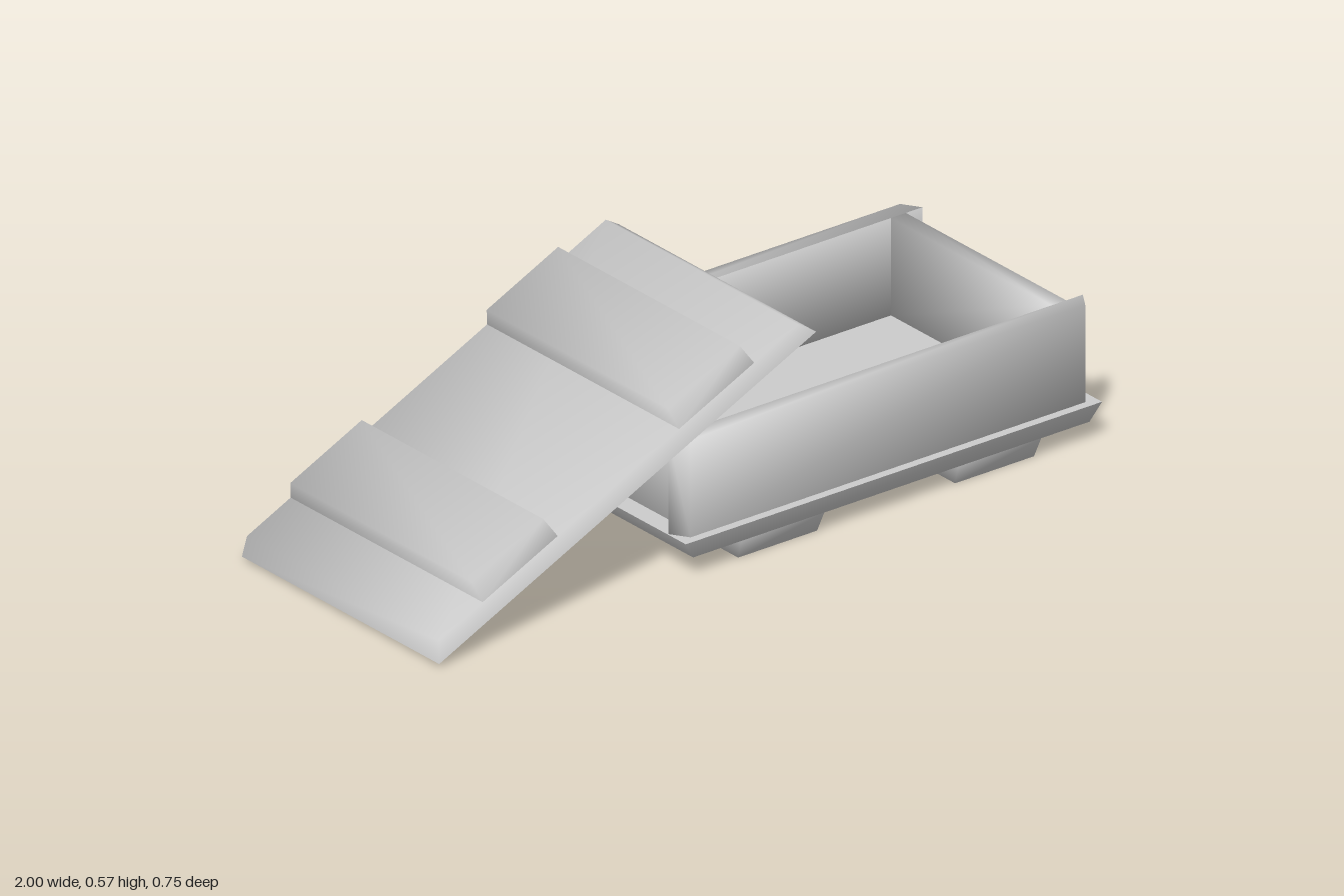
import * as THREE from 'three';
import { toCreasedNormals } from 'three/addons/utils/BufferGeometryUtils.js';

const material = new THREE.MeshStandardMaterial({ color: 0xcccccc });

// Board standing on y = 0 whose top is narrower by insetX / insetZ on each side.
// Right-angled edges are softly shaded, sharper ones stay creased.
function taperedBoard(name, length, height, width, insetX = 0, insetZ = 0) {
  const geometry = new THREE.BoxGeometry(length, height, width);
  geometry.translate(0, height / 2, 0);
  const p = geometry.attributes.position;
  for (let i = 0; i < p.count; i++) {
    if (p.getY(i) < height / 2) continue;
    p.setX(i, p.getX(i) - Math.sign(p.getX(i)) * insetX);
    p.setZ(i, p.getZ(i) - Math.sign(p.getZ(i)) * insetZ);
  }
  const mesh = new THREE.Mesh(toCreasedNormals(geometry, 1.65), material);
  mesh.name = name;
  return mesh;
}

// Panel with two cross battens, shared by the lid and the base
function battenedPanel(name, battenName) {
  const group = new THREE.Group();
  group.name = name;
  group.add(taperedBoard(name + 'Panel', 1.255, 0.047, 0.75, 0.03, 0.01));
  for (const side of [-1, 1]) {
    const batten = taperedBoard(battenName, 0.25, 0.053, 0.73, 0.006, 0.02);
    batten.position.set(side * 0.327, 0.047, 0);
    group.add(batten);
  }
  return group;
}

export function createModel() {
  const model = new THREE.Group();
  model.name = 'openCrate';

  // Crate body
  const crate = new THREE.Group();
  crate.name = 'crate';
  crate.position.x = 0.37;
  model.add(crate);

  const base = battenedPanel('base', 'foot');
  base.rotation.x = Math.PI;
  base.position.y = 0.1;
  crate.add(base);

  for (const side of [-1, 1]) {
    // Long walls, chamfered at their outer ends
    const wall = taperedBoard('sideWall', 1.25, 0.047, 0.255, 0.03);
    wall.rotation.x = side * Math.PI / 2;
    wall.position.set(0, 0.2275, side * 0.305);
    crate.add(wall);

    // Short walls set in between the long ones
    const end = taperedBoard('endWall', 0.045, 0.255, 0.61);
    end.position.set(side * 0.5525, 0.1, 0);
    crate.add(end);
  }

  // Lid leaning on the crate's edge
  const lid = battenedPanel('lid', 'lidBatten');
  lid.rotation.z = THREE.MathUtils.degToRad(25.1);
  lid.position.set(-0.433, 0.274, 0);
  model.add(lid);

  return model;
}
